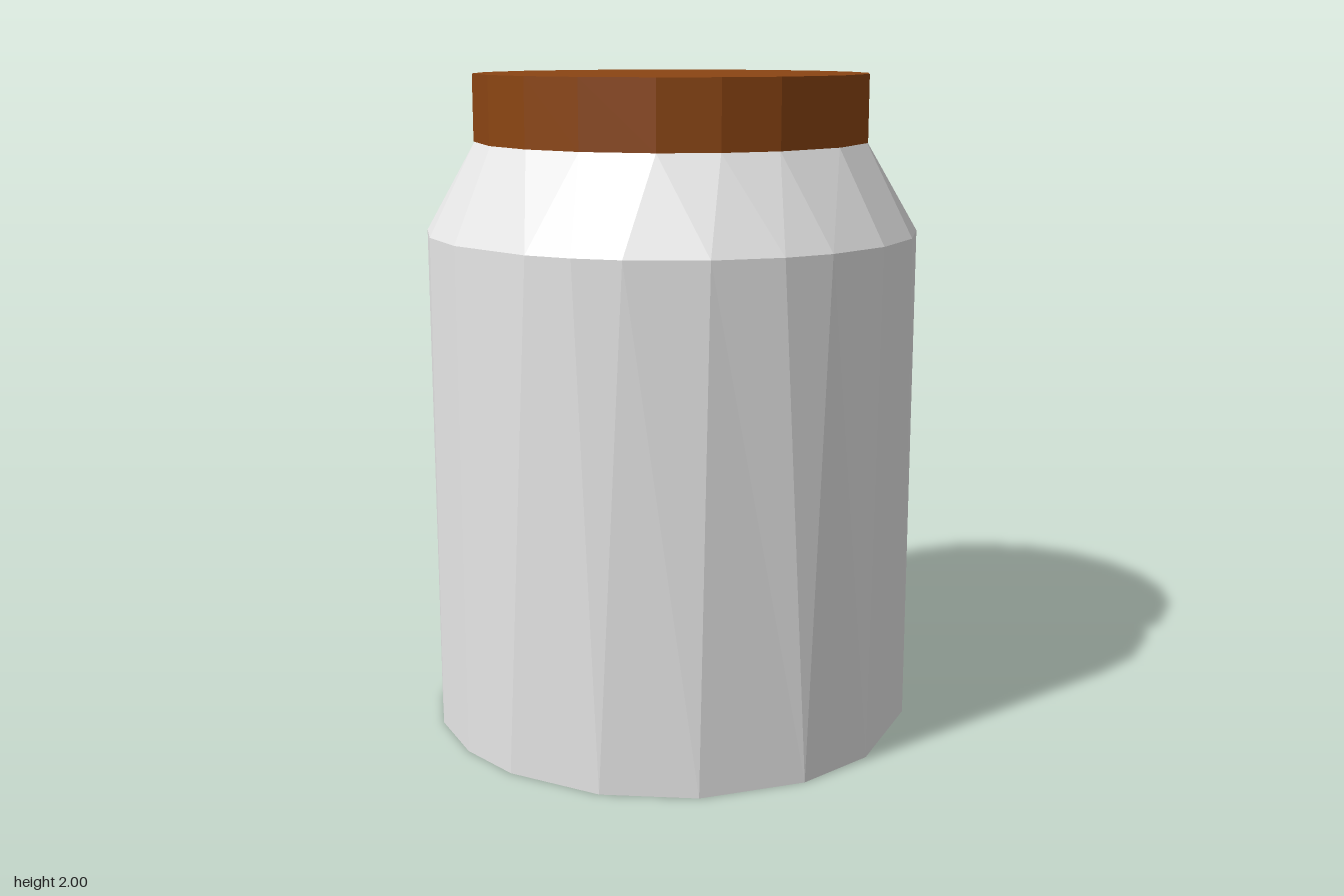
import * as THREE from 'three';

// Uneven facet corners of each ring, in degrees clockwise from the back seen from above
const BASE = [-6, 21, 39, 57, 86, 106, 131, 153, 176, 192, 210, 226, 243, 264, 285, 307, 331];
const SHOULDER = [0, 16, 33, 50, 67, 84, 101, 113, 129, 147, 158, 169, 192, 208.6, 225.5, 237, 248, 265, 275, 293, 310, 327, 343];
const RIM = [-6, 11, 27, 44, 61, 84, 107, 124, 141, 162, 180, 198, 220, 241, 265, 287, 305, 320, 337];

const ring = (angles, radius, y) => ({ angles, radius, y });
const angleAt = (r, i) => r.angles[i % r.angles.length] + 360 * Math.floor(i / r.angles.length);
function corner(r, i) {
  const a = THREE.MathUtils.degToRad(angleAt(r, i));
  return [r.radius * Math.sin(a), r.y, -r.radius * Math.cos(a)];
}

// Wall of triangles between two rings that may have different corner counts
function wall(lower, upper) {
  const out = [];
  const n = lower.angles.length, m = upper.angles.length;
  let i = 0, j = 0;
  while (i < n || j < m) {
    const stepLower = j === m || (i < n && angleAt(lower, i + 1) < angleAt(upper, j + 1));
    out.push(...corner(lower, i), ...corner(upper, j));
    out.push(...(stepLower ? corner(lower, ++i) : corner(upper, ++j)));
  }
  return out;
}

// Flat disc closing a ring, facing up or down
function disc(r, up) {
  const out = [];
  for (let i = 0; i < r.angles.length; i++) {
    const a = corner(r, i), b = corner(r, i + 1);
    out.push(0, r.y, 0, ...(up ? b : a), ...(up ? a : b));
  }
  return out;
}

function part(name, material, ...pieces) {
  const geometry = new THREE.BufferGeometry();
  geometry.setAttribute('position', new THREE.Float32BufferAttribute(pieces.flat(), 3));
  geometry.computeVertexNormals();
  const mesh = new THREE.Mesh(geometry, material);
  mesh.name = name;
  return mesh;
}

export function createModel() {
  const glass = new THREE.MeshStandardMaterial({ color: 0xe6e6e6, flatShading: true });
  glass.name = 'pale grey';
  const cork = new THREE.MeshStandardMaterial({ color: 0x8b4513, flatShading: true });
  cork.name = 'brown';

  const base = ring(BASE, 0.748, 0);
  const shoulder = ring(SHOULDER, 0.748, 1.53);
  const neck = ring(RIM, 0.595, 1.8);
  const lidTop = ring(RIM, 0.598, 2);
  const lidBottom = ring(RIM, 0.598, 1.8);

  const group = new THREE.Group();
  group.name = 'jar';
  group.add(
    part('body', glass, disc(base, false), wall(base, shoulder)),
    part('shoulder', glass, wall(shoulder, neck)),
    part('lid', cork, disc(lidBottom, false), wall(lidBottom, lidTop), disc(lidTop, true)),
  );
  return group;
}
